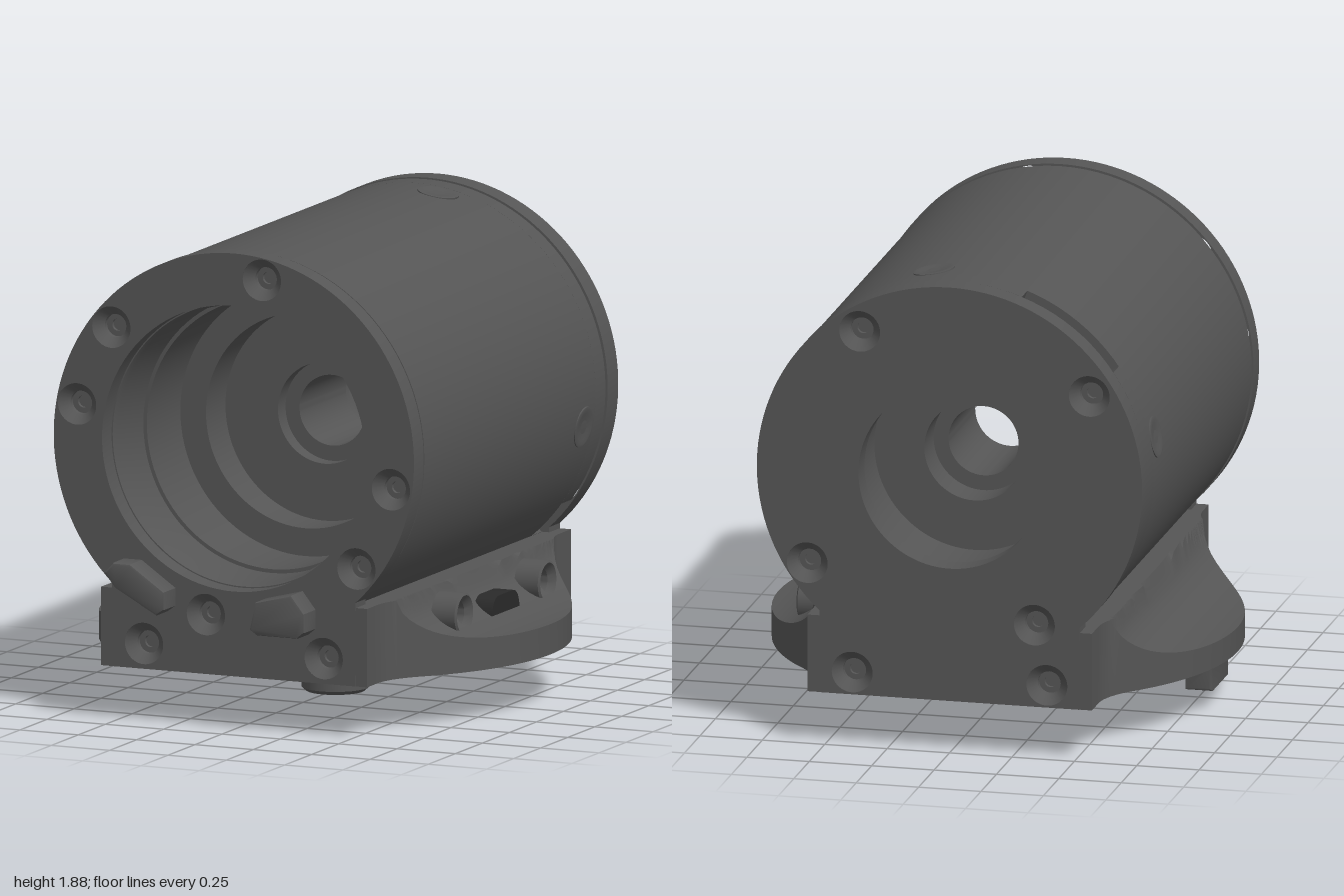
import * as THREE from 'three';
import { toCreasedNormals } from 'three/addons/utils/BufferGeometryUtils.js';

const AXIS_Y = 1.11; // height of the barrel axis
const BASE_Z = -0.05; // centre of the round base

export function createModel() {
  const model = new THREE.Group();
  const grey = new THREE.MeshStandardMaterial({ color: 0x555555 });
  grey.name = 'dark grey metal';
  const black = new THREE.MeshStandardMaterial({ color: 0x2a2a2a });
  black.name = 'black slot';

  const add = (name, geo, x = 0, y = 0, z = 0, mat = grey) => {
    const mesh = new THREE.Mesh(toCreasedNormals(geo, 0.5), mat);
    mesh.name = name;
    mesh.position.set(x, y, z);
    model.add(mesh);
    return mesh;
  };
  const lathe = (pts, segs = 32) =>
    new THREE.LatheGeometry(pts.map(([r, h]) => new THREE.Vector2(r, h)), segs);
  const extrude = (shape, depth, bevel = 0) => new THREE.ExtrudeGeometry(shape, {
    depth: depth - 2 * bevel, curveSegments: 48, bevelEnabled: bevel > 0,
    bevelThickness: bevel, bevelSize: bevel, bevelOffset: -bevel, bevelSegments: 2,
  });
  const up = new THREE.Vector3(0, 1, 0);
  const aim = (mesh, x, y, z) => mesh.quaternion.setFromUnitVectors(up, new THREE.Vector3(x, y, z).normalize());

  // Barrel: outer wall, stepped front bore, through hole and rear bore
  add('barrel', lathe([
    [0.735, -0.905], [0.735, -0.8], [0.768, -0.8], [0.768, 0.785], [0.755, 0.785], [0.755, 0.802],
    [0.56, 0.802], [0.55, 0.78], [0.55, 0.54], [0.535, 0.54], [0.535, 0.23], [0.425, 0.23],
    [0.425, 0.05], [0.2, 0.05], [0.2, -0.02], [0.14, -0.02], [0.14, -0.45], [0.2, -0.45],
    [0.2, -0.6], [0.4, -0.6], [0.4, -0.905], [0.735, -0.905],
  ], 96).rotateX(Math.PI / 2), 0, AXIS_Y, 0);

  // Rear rim of the barrel, interrupted by two notches
  for (const [from, to] of [[-36, 110], [145, 310]]) {
    const a = THREE.MathUtils.degToRad(from), b = THREE.MathUtils.degToRad(to);
    const arc = new THREE.Shape();
    arc.absarc(0, 0, 0.768, a, b, false);
    arc.absarc(0, 0, 0.73, b, a, true);
    add('rearRim', extrude(arc, 0.09), 0, AXIS_Y, -0.89);
  }

  // End plates with bore and countersunk screw holes
  const frontScrews = [[0.12, 1.785], [-0.525, 1.55], [-0.672, 1.235], [0.673, 1.0],
    [0.525, 0.675], [-0.12, 0.445], [-0.385, 0.31], [0.385, 0.31]];
  const backScrews = [[0.36, 1.68], [-0.56, 1.48], [0.57, 0.73], [-0.34, 0.54], [0.39, 0.3], [-0.39, 0.3]];
  const endPlate = (name, bore, screws, z, depth, face) => {
    const s = new THREE.Shape();
    s.moveTo(-0.52, 0.21);
    s.lineTo(0.52, 0.21);
    s.absarc(0, AXIS_Y, 0.772, -0.829, Math.PI + 0.829, false);
    s.closePath();
    const hole = (x, y, r) => {
      const p = new THREE.Path();
      p.absarc(x, y, r, 0, Math.PI * 2, true);
      s.holes.push(p);
    };
    hole(0, AXIS_Y, bore);
    screws.forEach(([x, y]) => hole(x, y, 0.082));
    add(name, extrude(s, depth), 0, 0, z);
    for (const [x, y] of screws) {
      const zf = face > 0 ? z + depth : z;
      aim(add('screwSeat', lathe([[0.084, 0], [0.046, -0.04], [0.046, -0.06], [0.024, -0.06],
        [0.024, -0.075], [0, -0.075]], 24), x, y, zf), 0, 0, face);
    }
  };
  endPlate('frontPlate', 0.565, frontScrews, 0.8, 0.09, 1);
  endPlate('backPlate', 0.365, backScrews, -1, 0.098, -1);

  // Set screws around the rear of the barrel
  for (const [x, y] of [[0.12, 0.675], [-0.672, 0.125], [0.673, -0.11]]) {
    const k = 0.766 / Math.hypot(x, y);
    aim(add('setScrew', lathe([[0.082, -0.02], [0.082, 0.004], [0.07, 0.006], [0.055, 0.002],
      [0.03, 0.002], [0.025, 0.001], [0, 0.001]], 32), x * k, AXIS_Y + y * k, -0.71), x, y, 0);
  }

  // Two locating lugs on the front plate
  const lugs = {
    rightLug: [[-0.51, 0.6], [-0.47, 0.64], [-0.395, 0.64], [-0.25, 0.54], [-0.25, 0.47], [-0.285, 0.445], [-0.46, 0.54]],
    leftLug: [[0.115, 0.42], [0.145, 0.4], [0.32, 0.4], [0.35, 0.425], [0.35, 0.5], [0.295, 0.57], [0.14, 0.53]],
  };
  for (const [name, pts] of Object.entries(lugs)) {
    const s = new THREE.Shape(pts.map(([x, y]) => new THREE.Vector2(x, y)));
    add(name, extrude(s, 0.12, 0.01), 0, 0, 0.89);
  }

  // Base block under the barrel
  add('baseBlock', new THREE.BoxGeometry(1.04, 0.31, 1.71), 0, 0.365, -0.055);

  // Side flanges: round in plan, scooped from the barrel out to a thin rim
  const flangeWidth = (z) => {
    const d = Math.abs(z - BASE_Z);
    if (d < 0.62) return Math.sqrt(0.92 ** 2 - d * d);
    return 0.57 + 0.11 * (1 - Math.min(1, (d - 0.62) / 0.22)) ** 2;
  };
  const sideFlange = (name, side, low) => {
    const topAt = (x) => {
      const t = Math.min(1, Math.max(0, (0.92 - x) / 0.32));
      return low + (0.52 - low) * (1 - Math.sqrt(1 - t * t));
    };
    const rows = 72, n = 26, pos = [], idx = [];
    for (let k = 0; k <= rows; k++) {
      const z = -0.998 + (1.886 * k) / rows, w = flangeWidth(z);
      pos.push(side * 0.52, 0.21, z);
      for (let i = 0; i < n - 1; i++) {
        const x = i === 0 ? w : w + ((0.52 - w) * (i - 1)) / (n - 3);
        pos.push(side * x, i === 0 ? 0.21 : topAt(x), z);
      }
    }
    const tri = (a, b, c) => (side > 0 ? idx.push(a, b, c) : idx.push(a, c, b));
    for (let k = 0; k < rows; k++) {
      for (let i = 0; i < n; i++) {
        const a = k * n + i, b = k * n + ((i + 1) % n);
        tri(a, b, b + n);
        tri(a, b + n, a + n);
      }
    }
    for (let i = 1; i < n - 1; i++) {
      tri(0, i + 1, i);
      tri(rows * n, rows * n + i, rows * n + i + 1);
    }
    const geo = new THREE.BufferGeometry();
    geo.setAttribute('position', new THREE.Float32BufferAttribute(pos, 3));
    geo.setIndex(idx);
    add(name, geo);
  };
  sideFlange('leftFlange', 1, 0.33);
  sideFlange('rightFlange', -1, 0.31);

  // Clamp screws and slot on the left flange
  for (const z of [0.34, -0.43]) {
    aim(add('clampScrew', lathe([[0.085, -0.1], [0.085, 0], [0.075, 0.006], [0.048, -0.02],
      [0.048, -0.05], [0, -0.05]]), 0.73, 0.42, z), 1, 0, 0);
  }
  const slot = new THREE.Shape();
  slot.moveTo(-0.13, 0.33);
  slot.lineTo(0.13, 0.33);
  slot.quadraticCurveTo(0.13, 0.44, 0.06, 0.44);
  slot.lineTo(-0.06, 0.44);
  slot.quadraticCurveTo(-0.13, 0.44, -0.13, 0.33);
  add('flangeSlot', extrude(slot, 0.08).rotateY(Math.PI / 2), 0.65, 0, BASE_Z, black);

  // Pivot disc and spigot under the base
  add('pivotDisc', lathe([[0, 0.125], [0.395, 0.125], [0.41, 0.14], [0.41, 0.215]], 64), 0, 0, BASE_Z);
  add('spigot', lathe([[0, 0], [0.115, 0], [0.132, 0.015], [0.132, 0.13]], 40), 0, 0, BASE_Z);
  for (let i = 0; i < 4; i++) {
    const a = (i + 0.5) * Math.PI / 2;
    add('discPin', new THREE.CylinderGeometry(0.025, 0.025, 0.008, 16),
      0.2 * Math.cos(a), 0.123, BASE_Z + 0.2 * Math.sin(a), black);
  }

  // Stop peg under the right flange, flared where it joins
  const pegShape = new THREE.Shape([[-0.055, 0.08], [0.055, 0.08], [0.055, 0.17], [0.065, 0.195],
    [0.09, 0.212], [-0.09, 0.212], [-0.065, 0.195], [-0.055, 0.17]].map(([x, y]) => new THREE.Vector2(x, y)));
  add('stopPeg', extrude(pegShape, 0.27, 0.01), -0.795, 0, BASE_Z - 0.125);

  return model;
}
